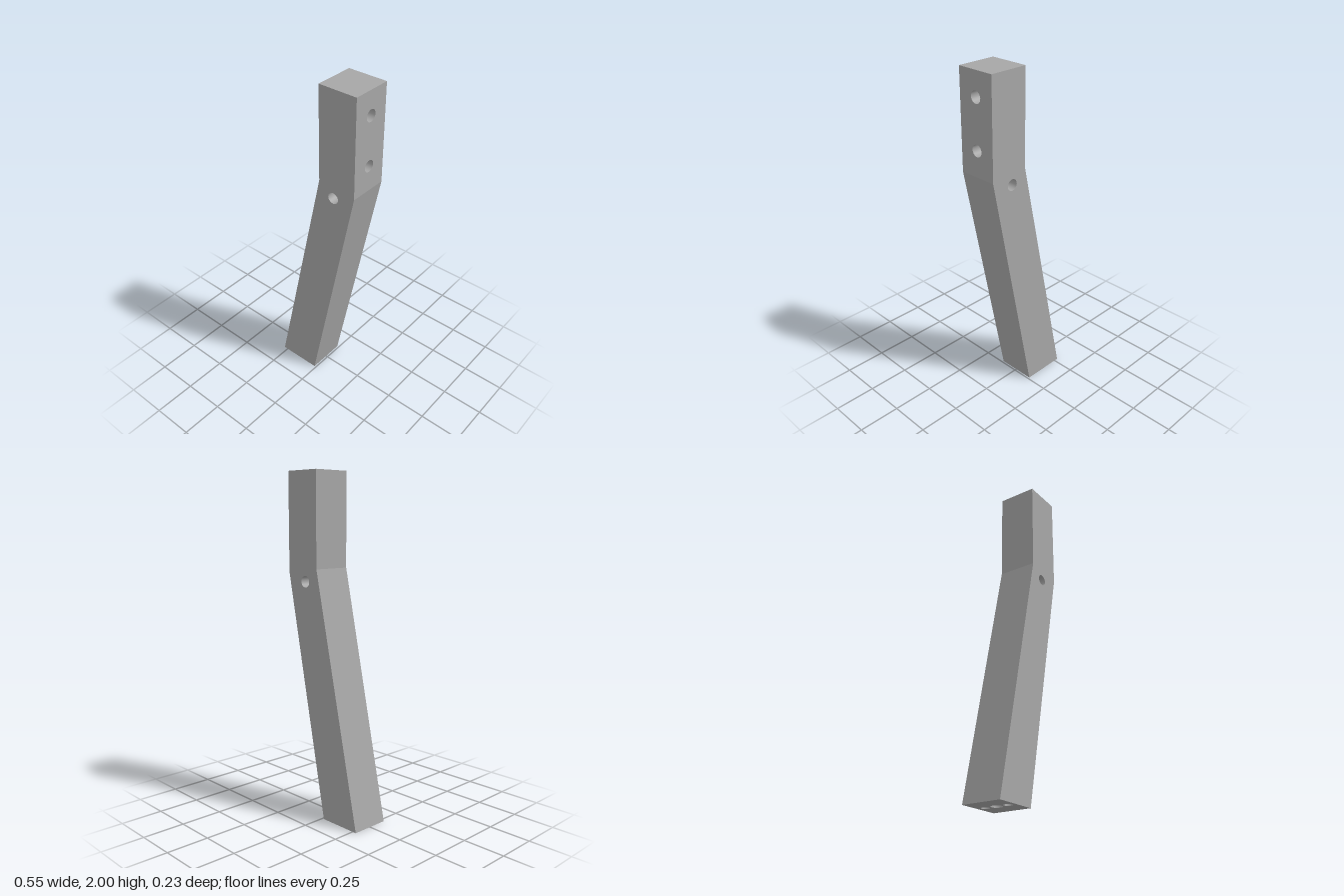
import * as THREE from 'three';

const HALF = 0.116; // half thickness of the leg
const SEG = 24; // sides of every drilled hole

// Side profile, counter-clockwise from the bottom outer corner
const PROFILE = [
  [-0.275, 0], [-0.012, 0], [0.274, 1.432], [0.274, 2], [0.042, 2], [0.042, 1.457],
].map(([x, y]) => new THREE.Vector2(x, y));

export function createModel() {
  const leg = new THREE.Group();
  leg.name = 'bentLeg';
  const grey = new THREE.MeshStandardMaterial({ color: 0xa6a6a6, side: THREE.DoubleSide });
  grey.name = 'grey';

  const add = (parent, geometry, name) => {
    const mesh = new THREE.Mesh(geometry, grey);
    mesh.name = name;
    parent.add(mesh);
    return mesh;
  };

  // Flat panel with round openings
  const panel = (points, holes) => {
    const shape = new THREE.Shape(points);
    for (const h of holes) shape.holes.push(new THREE.Path().absarc(h.x, h.y, h.r, 0, Math.PI * 2, true));
    return new THREE.ShapeGeometry(shape, SEG / 2);
  };

  // Bore running inward (-z) from a panel, optionally slanted, with a flat end if blind
  const bore = (parent, { x, y, r, depth, slant = 0, blind = true }) => {
    const wall = new THREE.CylinderGeometry(r, r, depth, SEG, 1, true);
    wall.rotateX(Math.PI / 2).translate(0, 0, -depth / 2);
    wall.applyMatrix4(new THREE.Matrix4().set(1, 0, -slant, 0, 0, 1, 0, 0, 0, 0, 1, 0, 0, 0, 0, 1));
    add(parent, wall.translate(x, y, 0), 'holeWall');
    if (blind) add(parent, new THREE.CircleGeometry(r, SEG).translate(x + slant * depth, y, -depth), 'holeEnd');
  };

  // Front and back faces, joined by the cross hole
  const cross = { x: 0.136, y: 1.383, r: 0.033, depth: HALF * 2, blind: false };
  const front = new THREE.Group();
  front.name = 'frontFace';
  front.position.z = HALF;
  add(front, panel(PROFILE, [cross]), 'frontPanel');
  bore(front, cross);
  leg.add(front);
  const back = add(leg, panel(PROFILE, [cross]), 'backPanel');
  back.position.z = -HALF;
  back.scale.z = -1;

  // Holes by profile edge: dowel holes in the foot, bolt holes in the upper side
  const names = ['footFace', 'lowerLeftFace', 'upperLeftFace', 'topFace', 'upperRightFace', 'lowerRightFace'];
  const edgeHoles = {
    footFace: [[-0.07, 0.024], [0, 0.032], [0.07, 0.024]]
      .map(([y, r]) => ({ x: 0.131, y, r, depth: 0.15, slant: 0.21 })),
    upperLeftFace: [1.58, 1.863].map((h) => ({ x: h - 1.432, y: 0, r: 0.034, depth: 0.15 })),
  };

  // One rectangular face per profile edge
  PROFILE.forEach((a, i) => {
    const b = PROFILE[(i + 1) % PROFILE.length];
    const length = a.distanceTo(b);
    const d = b.clone().sub(a).normalize();
    const face = new THREE.Group();
    face.name = names[i];
    face.quaternion.setFromRotationMatrix(new THREE.Matrix4().makeBasis(
      new THREE.Vector3(d.x, d.y, 0), new THREE.Vector3(0, 0, 1), new THREE.Vector3(d.y, -d.x, 0)));
    face.position.set(a.x, a.y, 0);
    const rect = [[0, -HALF], [length, -HALF], [length, HALF], [0, HALF]]
      .map(([x, y]) => new THREE.Vector2(x, y));
    const holes = edgeHoles[names[i]] ?? [];
    add(face, panel(rect, holes), names[i] + 'Panel');
    holes.forEach((h) => bore(face, h));
    leg.add(face);
  });

  return leg;
}
